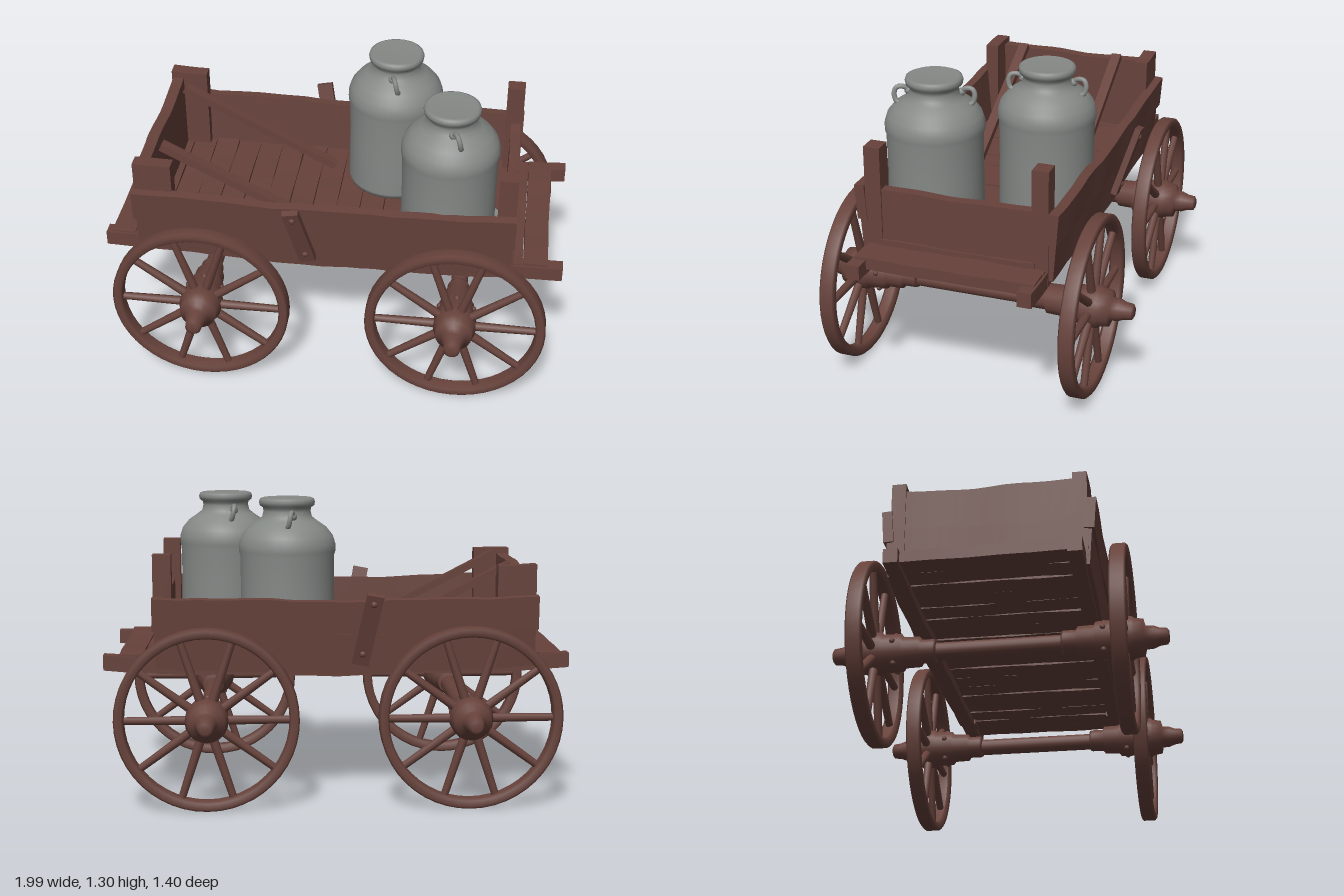
import * as THREE from 'three';

const wood = new THREE.MeshStandardMaterial({ color: 0x67423b });
wood.name = 'brown wood';
const metal = new THREE.MeshStandardMaterial({ color: 0x858986 });
metal.name = 'grey metal';

function add(parent, name, geo, mat, x = 0, y = 0, z = 0) {
  const m = new THREE.Mesh(geo, mat);
  m.name = name;
  m.position.set(x, y, z);
  parent.add(m);
  return m;
}

// Rough hewn board: sags in the middle along x and wobbles slightly
function board(w, h, d, sag = 0, wobble = 0.004, seed = 0) {
  const long = Math.max(w, d);
  const g = new THREE.BoxGeometry(w, h, d, w === long ? 16 : 1, 2, d === long ? 12 : 1);
  const p = g.attributes.position;
  for (let i = 0; i < p.count; i++) {
    const x = p.getX(i), y = p.getY(i), z = p.getZ(i);
    const t = w === long ? x : z;
    const end = 2 * t / long;
    const wave = Math.sin(t * 9 + seed + y * 20) + 0.6 * Math.sin(t * 23 + seed * 2);
    p.setY(i, y - sag * (1 - end * end) + wobble * wave);
    if (w === long) p.setZ(i, z + wobble * 0.6 * Math.sin(t * 13 + seed));
    else p.setX(i, x + wobble * 0.6 * Math.sin(t * 13 + seed));
  }
  g.computeVertexNormals();
  return g;
}

// Square bar between two points
function bar(parent, name, a, b, w, d) {
  const from = new THREE.Vector3(...a), to = new THREE.Vector3(...b);
  const m = add(parent, name, new THREE.BoxGeometry(w, from.distanceTo(to), d), wood);
  m.position.copy(from).add(to).multiplyScalar(0.5);
  m.quaternion.setFromUnitVectors(new THREE.Vector3(0, 1, 0), to.sub(from).normalize());
  return m;
}

function lathe(points, segments) {
  return new THREE.LatheGeometry(points.map(([r, y]) => new THREE.Vector2(r, y)), segments);
}

// Wheel whose axis is z, outer side towards +z
function makeWheel() {
  const wheel = new THREE.Group();
  wheel.name = 'wheel';
  const rim = add(wheel, 'rim', lathe([[0.347, -0.02], [0.356, -0.031], [0.381, -0.033], [0.39, -0.025],
    [0.39, 0.025], [0.381, 0.033], [0.356, 0.031], [0.347, 0.02], [0.347, -0.02]], 48), wood);
  rim.rotation.x = Math.PI / 2;
  for (let i = 0; i < 10; i++) {
    const a = i * Math.PI / 5;
    const spoke = add(wheel, 'spoke', new THREE.CylinderGeometry(0.016, 0.02, 0.29, 8), wood,
      0.21 * Math.cos(a), 0.21 * Math.sin(a), 0);
    spoke.rotation.z = a - Math.PI / 2;
  }
  const hub = add(wheel, 'hub', lathe([[0, -0.26], [0.046, -0.26], [0.05, -0.25], [0.05, -0.2], [0.064, -0.19],
    [0.066, -0.125], [0.079, -0.115], [0.082, -0.04], [0.092, -0.03], [0.092, 0.03], [0.084, 0.04],
    [0.078, 0.078], [0.05, 0.085], [0.048, 0.115], [0.038, 0.14], [0.034, 0.172], [0.022, 0.18], [0, 0.18]], 20), wood);
  hub.rotation.x = Math.PI / 2;
  // Hub bolts
  for (let i = 0; i < 5; i++) {
    const a = i * Math.PI * 0.4 + 0.3;
    add(wheel, 'hubBolt', new THREE.SphereGeometry(0.013, 8, 6), wood,
      0.078 * Math.cos(a), 0.078 * Math.sin(a), -0.085);
  }
  return wheel;
}

function makeCan(x, z, turn) {
  const can = new THREE.Group();
  can.name = 'milkCan';
  add(can, 'canBody', lathe([[0, 0], [0.2, 0], [0.205, 0.02], [0.202, 0.24], [0.204, 0.4], [0.21, 0.42],
    [0.209, 0.45], [0.198, 0.485], [0.17, 0.52], [0.13, 0.548], [0.108, 0.565], [0.102, 0.59], [0.104, 0.605],
    [0.118, 0.615], [0.121, 0.63], [0.117, 0.643], [0.105, 0.648], [0.095, 0.642], [0, 0.642]], 40), metal);
  // Loop handles on the shoulder
  for (const s of [-1, 1]) {
    const curve = new THREE.CatmullRomCurve3([[0.105, 0.572], [0.13, 0.59], [0.158, 0.588], [0.168, 0.565],
      [0.16, 0.535], [0.145, 0.525]].map(([r, y], i) => new THREE.Vector3(0.006 * i - 0.015, y, s * r)));
    add(can, 'canHandle', new THREE.TubeGeometry(curve, 16, 0.011, 8), metal);
    add(can, 'handleKnob', new THREE.SphereGeometry(0.018, 10, 8), metal, -0.015, 0.572, s * 0.11);
  }
  can.position.set(x, 0.655, z);
  can.rotation.y = turn;
  return can;
}

export function createModel() {
  const cart = new THREE.Group();
  cart.name = 'farmCart';

  // Floor planks laid across the cart
  const planks = 18, pitch = 1.9 / planks;
  for (let i = 0; i < planks; i++) {
    add(cart, 'floorPlank', board(pitch - 0.003, 0.05, 0.77, 0, 0.002, i * 1.7), wood,
      -0.97 + pitch * (i + 0.5), 0.622 + 0.003 * Math.sin(i * 2.3), 0);
  }

  for (const s of [-1, 1]) {
    // Long beams below the floor
    add(cart, 'sideBeam', board(1.99, 0.065, 0.06, 0.025, 0.003, s), wood, 0, 0.613, s * 0.365);

    // Two stacked side boards leaning outwards
    const side = new THREE.Group();
    side.name = 'sideWall';
    add(side, 'lowerSideBoard', board(1.62, 0.17, 0.035, 0.035, 0.004, 1 + s), wood, 0, 0.085, 0);
    add(side, 'upperSideBoard', board(1.64, 0.145, 0.042, 0.018, 0.004, 4 + s), wood, 0, 0.228, s * 0.004);
    side.position.set(-0.035, 0.6, s * 0.395);
    side.rotation.x = s * 0.07;
    cart.add(side);

    // Corner posts
    add(cart, 'frontPost', new THREE.BoxGeometry(0.078, 0.5, 0.07), wood, 0.742, 0.825, s * 0.36);
    add(cart, 'rearPost', board(0.165, 0.39, 0.06, 0, 0.003, s), wood, -0.765, 0.83, s * 0.375);

    // Loose poles leaning on the rear board
    bar(cart, 'leaningPole', [-0.76, 1.015, s * 0.235], [-0.065, 0.655, s * 0.235], 0.032, 0.045);

    // Outer brace with bolts
    bar(cart, 'sideBrace', [-0.095, 0.61, s * 0.425], [-0.155, 0.915, s * 0.515], 0.07, 0.028);
    for (const t of [0.15, 0.87]) {
      const bolt = add(cart, 'braceBolt', new THREE.SphereGeometry(0.014, 10, 8), wood,
        -0.095 - 0.06 * t, 0.61 + 0.305 * t, s * (0.439 + 0.09 * t));
      bolt.scale.z = 0.7;
    }
  }

  // End walls
  add(cart, 'frontWall', board(0.045, 0.25, 0.72, 0, 0.003, 2), wood, 0.752, 0.765, 0);
  add(cart, 'frontWallSill', board(0.05, 0.025, 0.68, 0, 0.002, 5), wood, 0.762, 0.655, 0);
  add(cart, 'rearWall', board(0.05, 0.36, 0.76, 0.012, 0.004, 3), wood, -0.815, 0.82, 0);

  // Axles and wheels
  for (const x of [-0.558, 0.555]) {
    const axle = add(cart, 'axle', new THREE.CylinderGeometry(0.037, 0.037, 0.64, 16), wood, x, 0.388, 0);
    axle.rotation.x = Math.PI / 2;
    for (const s of [-1, 1]) {
      const wheel = makeWheel();
      wheel.position.set(x, 0.392, s * 0.52);
      if (s < 0) wheel.rotation.y = Math.PI;
      cart.add(wheel);
    }
  }

  // Milk cans and the flat grey patches beside them
  cart.add(makeCan(0.21, -0.2, 0.08), makeCan(0.485, 0.2, 0.25));
  for (const [x, z, rx, rz] of [[0.37, -0.29, 0.08, 0.09], [0.65, 0.13, 0.08, 0.13]]) {
    const patch = add(cart, 'floorPatch', new THREE.CylinderGeometry(1, 1, 0.008, 14), metal, x, 0.657, z);
    patch.scale.set(rx, 1, rz);
  }
  return cart;
}
